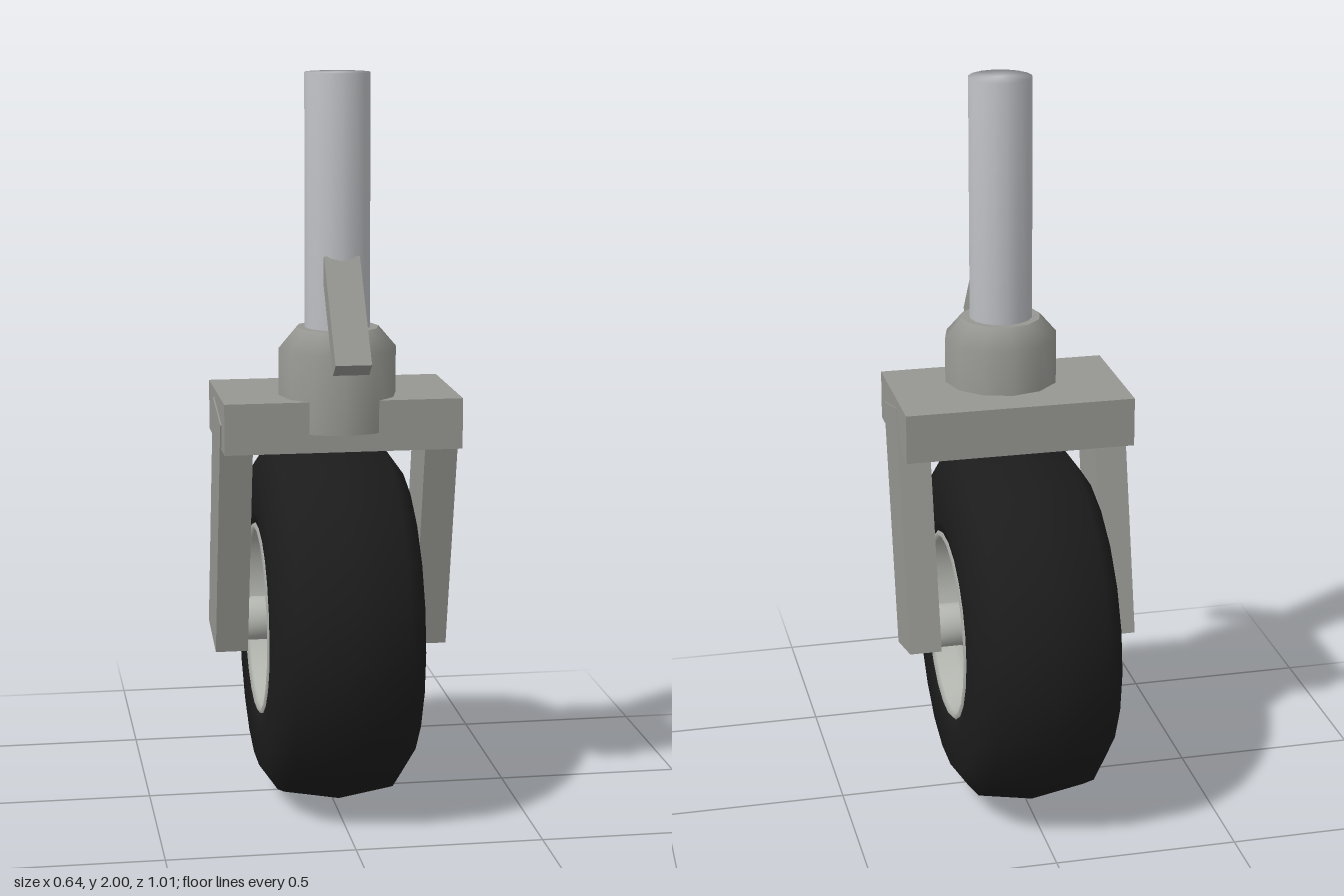
import * as THREE from 'three';

const paint = (name, color) => {
  const m = new THREE.MeshStandardMaterial({ color });
  m.name = name;
  return m;
};

export function createModel() {
  const group = new THREE.Group();
  const rubber = paint('black rubber', 0x1c1c1c);
  const forkGrey = paint('fork grey', 0x969692);
  const hubGrey = paint('hub grey', 0xb0b2ac);
  const steel = paint('polished steel', 0xbcbec2);

  const add = (name, geometry, material, x, y, z) => {
    const mesh = new THREE.Mesh(geometry, material);
    mesh.name = name;
    mesh.position.set(x, y, z);
    group.add(mesh);
    return mesh;
  };
  // Revolves [radius, height] pairs, listed from bottom to top
  const lathe = (points, sides) =>
    new THREE.LatheGeometry(points.map(([r, h]) => new THREE.Vector2(r, h)), sides);
  // Completes a profile by mirroring its lower half
  const mirrored = (half) =>
    [...half, ...half.filter(([, h]) => h !== 0).reverse().map(([r, h]) => [r, -h])];

  // Tyre: rounded tread and flat sidewalls
  const tyre = add('tyre', lathe(mirrored([
    [0.25, -0.17], [0.265, -0.195], [0.3, -0.2], [0.41, -0.2], [0.48, -0.15], [0.505, 0],
  ]), 22), rubber, 0, 0.5, 0);
  tyre.rotation.z = -Math.PI / 2;

  // Hub: dished on both sides, flaring into the axle
  const hub = add('hubAndAxle', lathe(mirrored([
    [0, -0.26], [0.06, -0.26], [0.06, -0.16], [0.075, -0.125], [0.11, -0.11],
    [0.18, -0.115], [0.22, -0.14], [0.245, -0.19], [0.256, -0.201], [0.27, -0.19],
  ]), 22), hubGrey, 0, 0.5, 0);
  hub.rotation.z = -Math.PI / 2;

  // Fork: crown plate and two raked legs
  add('crownPlate', new THREE.BoxGeometry(0.63, 0.135, 0.375), forkGrey, 0, 1.088, 0.108);
  for (const side of [-1, 1]) {
    const leg = add(side > 0 ? 'leftForkLeg' : 'rightForkLeg',
      new THREE.BoxGeometry(0.088, 0.68, 0.185), forkGrey, side * 0.275, 0.78, 0.0625);
    leg.rotation.x = 0.235;
  }

  // Collar overhanging the front of the plate
  add('collar', lathe([
    [0, 1.07], [0.157, 1.07], [0.157, 1.07], [0.157, 1.28], [0.11, 1.335], [0.11, 1.335], [0, 1.335],
  ], 12), forkGrey, 0, 0, 0.173);

  // Stem, with softly shaded top edge
  add('stem', lathe([[0.087, 1.3], [0.087, 2], [0, 2]], 16), steel, 0, 0, 0.173);

  // Locking lever leaning against the stem
  const lever = add('lever', new THREE.BoxGeometry(0.094, 0.322, 0.053), forkGrey, 0, 1.387, 0.3275);
  lever.rotation.x = -0.658;

  return group;
}
